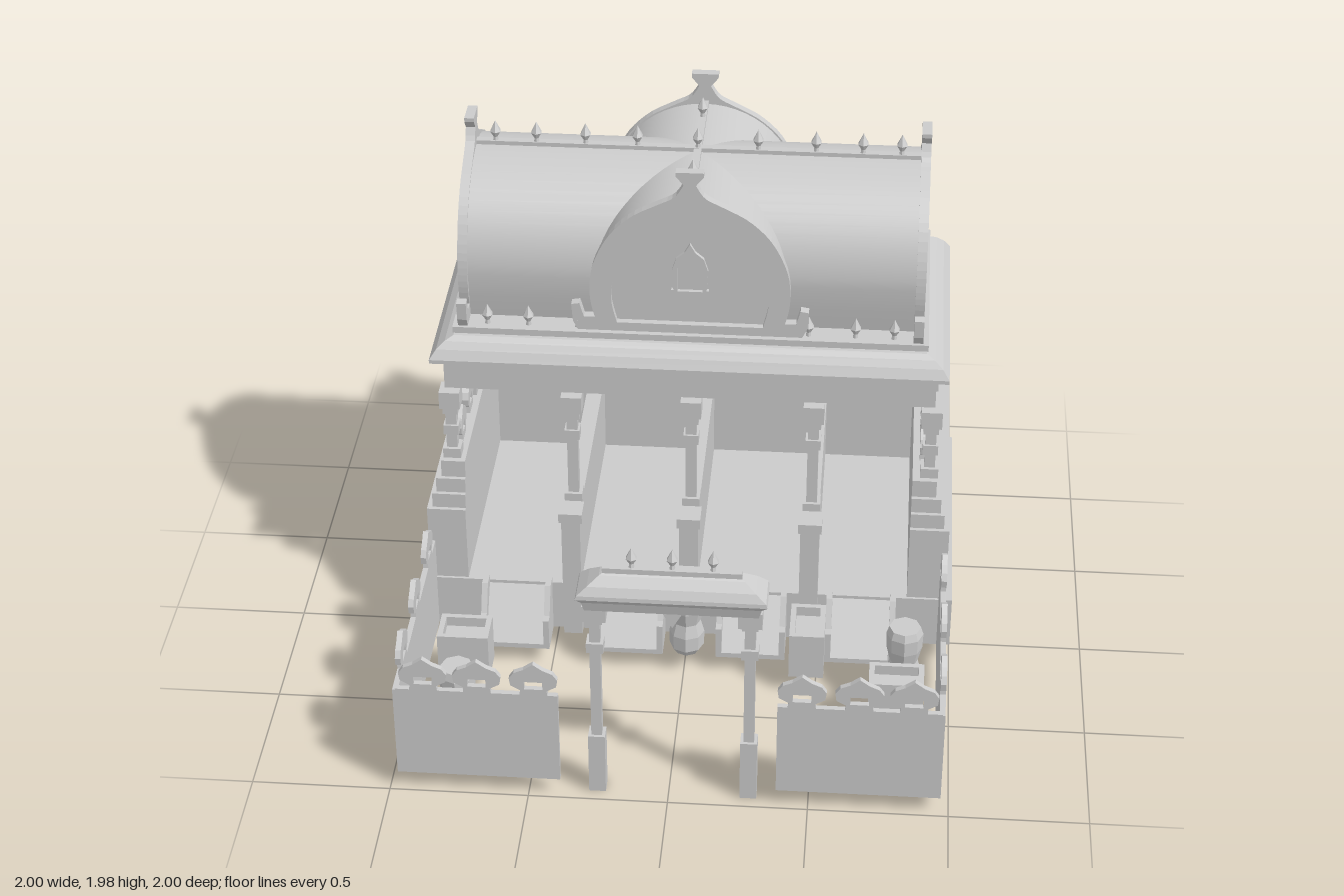
import * as THREE from 'three';
import { toCreasedNormals } from 'three/addons/utils/BufferGeometryUtils.js';

const mat = new THREE.MeshStandardMaterial({ color: 0xcccccc });
const flat = new THREE.MeshStandardMaterial({ color: 0xcccccc, flatShading: true });

function add(parent, name, geo, x = 0, y = 0, z = 0, material = mat) {
  const m = new THREE.Mesh(geo, material);
  m.name = name;
  m.position.set(x, y, z);
  parent.add(m);
  return m;
}

// Box given by its extents on each axis
function box(parent, name, x0, x1, y0, y1, z0, z1) {
  return add(parent, name, new THREE.BoxGeometry(x1 - x0, y1 - y0, z1 - z0),
    (x0 + x1) / 2, (y0 + y1) / 2, (z0 + z1) / 2);
}

const toShape = pts => new THREE.Shape(pts.map(p => new THREE.Vector2(p[0], p[1])));
const extrude = (shape, depth) => new THREE.ExtrudeGeometry(shape, { depth, bevelEnabled: false, curveSegments: 12 });
// Right half profile, bottom to top, mirrored to a closed outline
const mirrored = half => [...half, ...half.slice().reverse().filter(p => p[0] > 0).map(p => [-p[0], p[1]])];
const smooth = (pts, n) => new THREE.SplineCurve(pts.map(p => new THREE.Vector2(...p))).getPoints(n).map(p => [p.x, p.y]);

// Stack of rectangular rings [halfX, halfZ, y], closed at both ends
function rectLoft(rings) {
  const pos = [], idx = [];
  rings.forEach(([a, b, y]) => pos.push(-a, y, b, a, y, b, a, y, -b, -a, y, -b));
  for (let i = 0; i < rings.length - 1; i++)
    for (let j = 0; j < 4; j++) {
      const p = i * 4 + j, q = i * 4 + (j + 1) % 4;
      idx.push(p, q, q + 4, p, q + 4, p + 4);
    }
  const t = (rings.length - 1) * 4;
  idx.push(0, 2, 1, 0, 3, 2, t, t + 1, t + 2, t, t + 2, t + 3);
  const g = new THREE.BufferGeometry();
  g.setAttribute('position', new THREE.Float32BufferAttribute(pos, 3));
  g.setIndex(idx);
  const out = g.toNonIndexed();
  out.computeVertexNormals();
  return out;
}

// Spade-shaped battlement with a small opening, standing on y = 0
function merlon(parent, w, depth, x, y, z, turn = 0) {
  const s = toShape(mirrored([[0.6, -0.01], [0.55, 0.025], [0.95, 0.045], [1, 0.075], [0.8, 0.1], [0.4, 0.115], [0, 0.14]]
    .map(([u, v]) => [u * w, v])));
  const hw = w * 0.38;
  s.holes.push(new THREE.Path([[-hw, 0.03], [-hw, 0.062], [hw, 0.062], [hw, 0.03]].map(p => new THREE.Vector2(...p))));
  const g = extrude(s, depth);
  g.translate(0, 0, -depth / 2);
  add(parent, 'merlon', g, x, y, z).rotation.y = turn;
}

const finialGeo = new THREE.LatheGeometry(
  [[0.012, 0], [0.008, 0.02], [0.021, 0.042], [0.012, 0.06], [0, 0.085]].map(p => new THREE.Vector2(...p)), 6);
const finial = (parent, x, y, z) => add(parent, 'finial', finialGeo, x, y, z, flat);

// Square column with base, middle band and stepped capital
function column(parent, x, z, y0, y1) {
  const part = (name, r, a, b) => box(parent, name, x - r, x + r, a, b, z - r, z + r);
  part('columnBase', 0.033, y0, y0 + 0.04);
  part('columnShaft', 0.02, y0 + 0.04, y1 - 0.05);
  part('columnBand', 0.028, 0.88, 0.92);
  part('columnNeck', 0.028, y1 - 0.1, y1 - 0.06);
  part('columnCapital', 0.038, y1 - 0.07, y1);
}

const ZC = -0.46; // centre line of the hall
const COLS = [-0.88, -0.43, 0.01, 0.46, 0.89];

function hallBase(g) {
  box(g, 'plinth', -1, 1, 0.07, 0.28, -1, 0.1);
  // Stepped wall, open to the front
  [[0.975, -0.97, 0.09, 0.28, 0.59], [0.955, -0.96, 0.075, 0.59, 0.65],
    [0.94, -0.945, 0.06, 0.65, 0.71], [0.92, -0.93, 0.045, 0.71, 0.78]].forEach(([w, zb, zf, y0, y1]) => {
    const u = toShape([[-w, -zf], [-0.83, -zf], [-0.83, 0.84], [0.83, 0.84], [0.83, -zf], [w, -zf], [w, -zb], [-w, -zb]]);
    const geo = extrude(u, y1 - y0);
    geo.rotateX(-Math.PI / 2);
    add(g, 'steppedWall', geo, 0, y0, 0);
  });
  // Partitions between the stalls, each with a front pier
  COLS.slice(1, 4).forEach(x => {
    box(g, 'partition', x - 0.03, x + 0.03, 0.28, 0.6, -0.84, 0.07);
    box(g, 'pier', x - 0.035, x + 0.035, 0.07, 0.59, 0.06, 0.135);
    box(g, 'pierCap', x - 0.044, x + 0.044, 0.59, 0.63, 0.055, 0.145);
  });
  // Ramps with cheeks
  const slope = [[0.09, 0.07], [0.24, 0.07], [0.24, 0.09], [0.09, 0.28]];
  const cheek = [[0.09, 0.07], [0.24, 0.07], [0.24, 0.2], [0.205, 0.2], [0.15, 0.3], [0.09, 0.3]];
  const side = (name, pts, x, w) => {
    const geo = extrude(toShape(pts), w);
    geo.rotateY(-Math.PI / 2);
    add(g, name, geo, x + w, 0, 0);
  };
  [-0.64, -0.21, 0.25, 0.66].forEach(x => {
    side('ramp', slope, x - 0.11, 0.22);
    side('rampCheek', cheek, x - 0.13, 0.022);
    side('rampCheek', cheek, x + 0.108, 0.022);
  });
  // Battlements on the wall
  [-0.74, -0.56, -0.3, -0.12, 0.14, 0.32, 0.55, 0.73].forEach(x => merlon(g, 0.066, 0.05, x, 0.78, -0.89));
  [-0.13, -0.32, -0.55, -0.75].forEach(z => [-1, 1].forEach(s => merlon(g, 0.066, 0.05, s * 0.88, 0.78, z, Math.PI / 2)));
  // Columns
  COLS.forEach((x, i) => {
    column(g, x, -0.01, i % 4 ? 0.6 : 0.78, 1.07);
    column(g, x, -0.895, 0.78, 1.07);
    if (i % 4 === 0) column(g, x, -0.44, 0.78, 1.07);
  });
}

function gable(parent, turn, dist) {
  const g = new THREE.Group();
  g.name = 'gable';
  g.position.z = ZC;
  g.rotation.y = turn;
  parent.add(g);
  // Horseshoe frame rising to a flared crest
  const outer = [...smooth([[0.325, 1.31], [0.355, 1.41], [0.362, 1.5], [0.345, 1.6], [0.29, 1.71], [0.21, 1.79],
    [0.12, 1.84], [0.055, 1.875], [0.022, 1.925]], 28), [0.05, 1.96], [0.05, 1.975]];
  const frame = toShape(mirrored(outer));
  const inner = smooth([[0.265, 1.35], [0.285, 1.45], [0.27, 1.55], [0.21, 1.66], [0.11, 1.725], [0, 1.745]], 18);
  frame.holes.push(new THREE.Path(mirrored(inner).map(p => new THREE.Vector2(...p))));
  add(g, 'gableFrame', extrude(frame, 0.035), 0, 0, dist - 0.035);
  // Window
  const win = toShape(mirrored([[0.068, 1.47], [0.068, 1.49], [0.06, 1.49], [0.065, 1.57], [0.05, 1.62], [0.02, 1.645], [0, 1.68]]));
  win.holes.push(new THREE.Path(mirrored([[0.045, 1.485], [0.045, 1.58], [0.03, 1.615], [0, 1.63]]).map(p => new THREE.Vector2(...p))));
  add(g, 'gableWindow', extrude(win, 0.03), 0, 0, dist - 0.04);
  // Scrolls at the feet
  [-1, 1].forEach(s => {
    const pts = [[0.32, 1.31], [0.405, 1.31], [0.425, 1.35], [0.43, 1.42], [0.4, 1.425], [0.385, 1.37], [0.34, 1.37]];
    add(g, 'gableScroll', extrude(toShape(pts.map(p => [s * p[0], p[1]])), 0.035), 0, 0, dist - 0.035);
  });
}

function hallRoof(g) {
  // Ring of beams under a ceiling
  [-0.9, 0.82].forEach(x => box(g, 'sideBeam', x, x + 0.08, 1.07, 1.2, -0.91, -0.01));
  [-0.91, -0.05].forEach(z => box(g, 'longBeam', -0.82, 0.82, 1.07, 1.2, z - 0.0, z + 0.04));
  add(g, 'eave', rectLoft([[0.9, 0.45, 1.19], [0.945, 0.485, 1.2], [0.945, 0.485, 1.215], [0.92, 0.465, 1.25],
    [0.89, 0.445, 1.275], [0.86, 0.425, 1.29]]), 0, 0, ZC + 0.01);
  box(g, 'roofSlab', -0.865, 0.865, 1.29, 1.315, ZC - 0.42, ZC + 0.42);
  // Two crossing barrel vaults
  const half = [[0.325, 1.31], [0.34, 1.4]];
  for (let i = 0; i <= 14; i++) {
    const a = i / 14 * Math.PI / 2;
    half.push([i === 14 ? 0 : 0.352 * Math.cos(a), 1.5 + 0.352 * Math.sin(a)]);
  }
  const vault = (name, len, turn) => {
    const geo = extrude(toShape(mirrored(half)), len * 2);
    geo.translate(0, 0, -len);
    add(g, name, toCreasedNormals(geo, 0.5), 0, 0, ZC).rotation.y = turn;
  };
  vault('mainVault', 0.815, Math.PI / 2);
  vault('crossVault', 0.375, 0);
  box(g, 'mainRidge', -0.82, 0.82, 1.84, 1.867, ZC - 0.014, ZC + 0.014);
  box(g, 'crossRidge', -0.014, 0.014, 1.84, 1.866, ZC - 0.38, ZC + 0.38);
  for (let i = 0; i < 4; i++) gable(g, i * Math.PI / 2, i % 2 ? 0.845 : 0.4);
  // Finials along ridges and eaves
  [-0.74, -0.59, -0.41, -0.22, 0, 0.22, 0.43, 0.6, 0.74].forEach(x => {
    finial(g, x, 1.86, ZC);
    if (Math.abs(x) > 0.3) [-0.38, 0.38].forEach(d => finial(g, x, 1.31, ZC + d));
  });
  [-0.24, 0.24].forEach(d => finial(g, 0, 1.86, ZC + d));
}

function courtyard(g) {
  [-1, 1].forEach(s => {
    const X = s * 0.96;
    box(g, 'sideWall', X - 0.01, X + 0.01, 0.07, 0.445, 0.09, 0.985);
    [0.82, 0.52, 0.22].forEach(z => merlon(g, 0.08, 0.02, X, 0.44, z, Math.PI / 2));
    box(g, 'frontWall', Math.min(s * 0.385, X), Math.max(s * 0.385, X), 0.07, 0.45, 0.965, 0.985);
    [0.47, 0.67, 0.86].forEach(x => merlon(g, 0.085, 0.02, s * x, 0.445, 0.975));
  });
  // Troughs with a sunken top
  [[-0.805, 0.38, 0.095, 0.07], [0.465, 0.25, 0.065, 0.1], [0.8, 0.545, 0.1, 0.065]].forEach(([x, z, a, b]) =>
    add(g, 'trough', rectLoft([[a, b, 0.08], [a, b, 0.27], [a - 0.02, b - 0.02, 0.27], [a - 0.02, b - 0.02, 0.23]]), x, 0, z));
  // Waisted eight-sided jars
  const jar = new THREE.LatheGeometry([[0, 0.08], [0.045, 0.08], [0.065, 0.11], [0.066, 0.17], [0.052, 0.22], [0.066, 0.28],
    [0.068, 0.34], [0.058, 0.37], [0, 0.37]].map(p => new THREE.Vector2(...p)), 8);
  [[0.01, 0.21], [0.825, 0.39], [-0.78, 0.74]].forEach(([x, z]) => add(g, 'jar', jar, x, 0, z, flat));
}

function gate(g) {
  const X = 0.015, Z = 0.925;
  [-0.27, 0.27].forEach(d => {
    [['postFoot', 0.03, 0, 0.25], ['postShaft', 0.019, 0.25, 0.78], ['postBand', 0.03, 0.625, 0.665],
      ['postNeck', 0.028, 0.75, 0.78], ['postCapital', 0.042, 0.77, 0.835]].forEach(([n, r, a, b]) =>
      box(g, n, X + d - r, X + d + r, a, b, Z - r, Z + r));
  });
  add(g, 'gateRoof', rectLoft([[0.3, 0.055, 0.83], [0.31, 0.065, 0.87], [0.33, 0.072, 0.885], [0.325, 0.07, 0.9], [0.29, 0.053, 0.93],
    [0.25, 0.025, 0.96], [0.24, 0.018, 0.965], [0.24, 0.018, 0.985]]), X, 0, Z);
  add(g, 'gatePendant', extrude(toShape([[-0.05, 0.83], [0, 0.74], [0.05, 0.83]]), 0.03), X, 0, Z - 0.015);
  [-0.14, 0, 0.14].forEach(d => finial(g, X + d, 0.98, Z));
}

export function createModel() {
  const root = new THREE.Group();
  root.name = 'pavilion';
  Object.entries({ hallBase, hallRoof, courtyard, gate }).forEach(([name, build]) => {
    const g = new THREE.Group();
    g.name = name;
    build(g);
    root.add(g);
  });
  return root;
}
